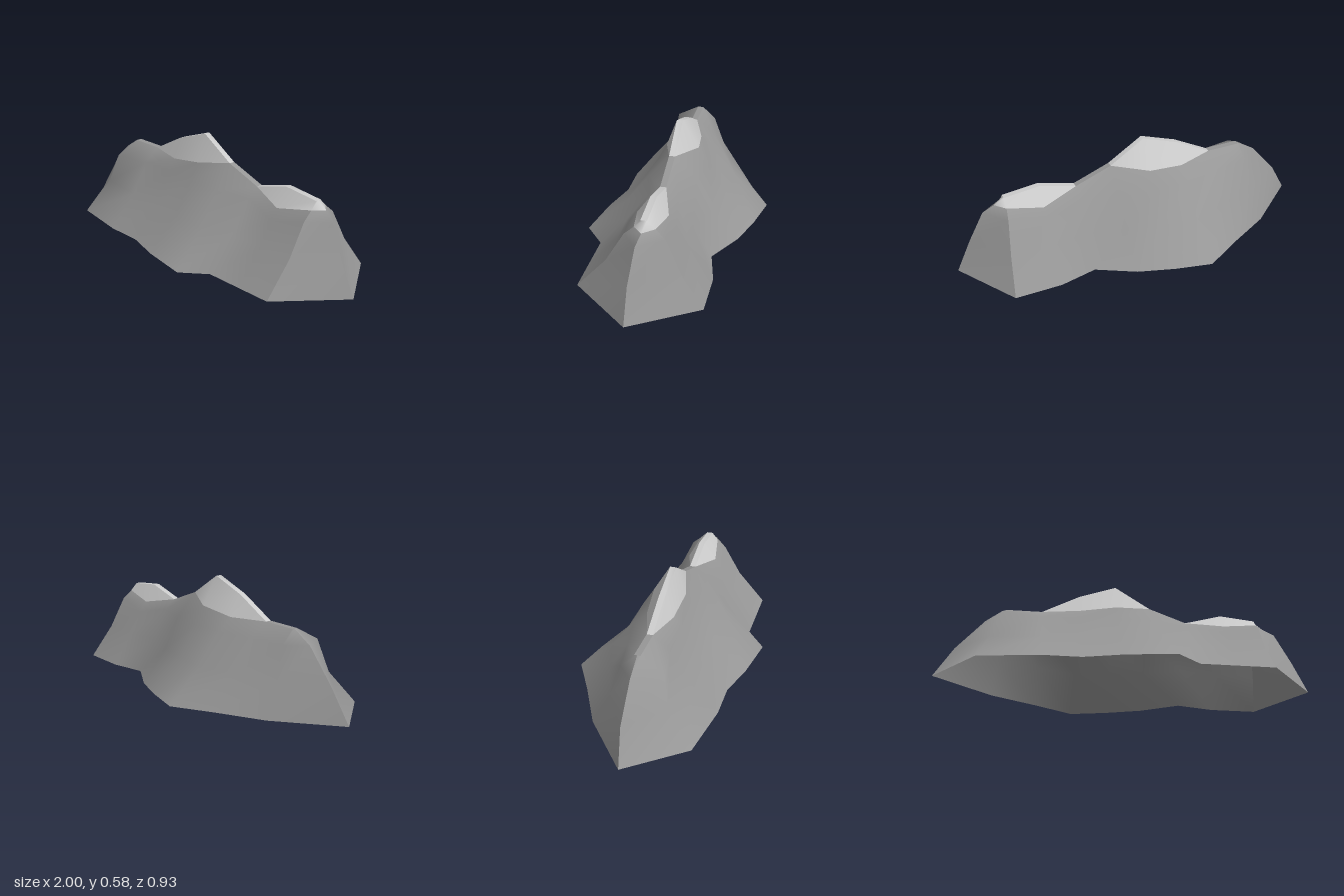
import * as THREE from 'three';
import { mergeVertices } from 'three/addons/utils/BufferGeometryUtils.js';

// Surface through neighbouring columns of points (each listed from bottom to top)
function sheet(columns, from, to) {
  const pos = [];
  const tri = (a, b, c) => {
    const area = b.clone().sub(a).cross(c.clone().sub(a)).length();
    if (area > 1e-6) for (const p of [a, b, c]) pos.push(p.x, p.y, p.z);
  };
  for (let i = 0; i < columns.length - 1; i++) {
    const p = columns[i], q = columns[i + 1];
    for (let j = from; j < to; j++) {
      tri(p[j], q[j], q[j + 1]);
      tri(p[j], q[j + 1], p[j + 1]);
    }
  }
  const g = new THREE.BufferGeometry();
  g.setAttribute('position', new THREE.Float32BufferAttribute(pos, 3));
  return g;
}

export function createModel() {
  const group = new THREE.Group();
  group.name = 'mountainRange';
  const rock = new THREE.MeshStandardMaterial({ color: 0x969696, side: THREE.DoubleSide });
  const snow = new THREE.MeshStandardMaterial({ color: 0xcccccc, side: THREE.DoubleSide });
  const add = (name, geometry, material) => {
    const g = mergeVertices(geometry, 1e-4);
    g.computeVertexNormals();
    const mesh = new THREE.Mesh(g, material);
    mesh.name = name;
    group.add(mesh);
  };
  const v = (x, y, z) => new THREE.Vector3(x, y, z);

  // Sections along the ridge, front and back: foot shift in x, foot z, shoulder z, snow line z
  const FRONT = 0.022, BACK = -0.01;
  const sections = [
    { x: -0.64, y: 0.405, f: [-0.13, 0.315, 0.145], b: [-0.06, -0.22, -0.08] },
    { x: -0.45, y: 0.405, f: [0, 0.365, 0.11], b: [0, -0.35, -0.11] },
    { x: -0.25, y: 0.51, cap: 0.4, f: [0, 0.365, 0.11, 0.07], b: [0, -0.465, -0.15, -0.075] },
    { x: -0.05, y: 0.58, cap: 0.43, f: [0, 0.42, 0.13, 0.078], b: [0, -0.42, -0.16, -0.1] },
    { x: 0.14, y: 0.46, f: [0.07, 0.462, 0.13], b: [0, -0.36, -0.13] },
    { x: 0.34, y: 0.385, f: [0, 0.355, 0.08], b: [0, -0.25, -0.07] },
    { x: 0.54, y: 0.44, cap: 0.345, shoulder: 0.29, f: [0, 0.355, 0.13, 0.09], b: [0, -0.295, -0.11, -0.07] },
    { x: 0.73, y: 0.42, cap: 0.38, f: [0, 0.355, 0.105, 0.055], b: [0.06, -0.295, -0.1, -0.05] },
  ];
  const column = (s, [dx, foot, mid, line], top, half) => [
    v(s.x + dx, 0, foot),
    v(s.x + dx * 0.55, 0.17, foot * half),
    v(s.x + dx * 0.15, s.shoulder ?? 0.335, mid),
    v(s.x, s.cap ?? s.y, line ?? top),
    v(s.x, s.y, top),
  ];
  const front = sections.map(s => column(s, s.f, FRONT, 0.57));
  const back = sections.map(s => column(s, s.b, BACK, 0.6)).reverse();

  // Spines running down the two ends
  const leftSpine = [v(-1, 0, 0.025), v(-0.9, 0.17, 0.005), v(-0.75, 0.34, 0.005),
    v(-0.64, 0.405, 0.005), v(-0.64, 0.405, 0.005)];
  const rightSpine = [v(1, 0, 0.042), v(0.92, 0.17, 0.042), v(0.84, 0.34, 0.022),
    v(0.78, 0.38, 0.006), v(0.73, 0.42, 0.006)];

  // Rock slopes, meeting in sharp edges at the spines and the right end
  add('frontSlope', sheet([leftSpine, ...front], 0, 3), rock);
  add('backSlope', sheet([...back, leftSpine], 0, 3), rock);
  add('rightEndFront', sheet([front[7], rightSpine], 0, 3), rock);
  add('rightEndBack', sheet([rightSpine, back[0]], 0, 3), rock);

  // Snow on the main peak, and round the right end on the small peak
  add('mainPeakFrontSnow', sheet(front.slice(1, 5), 3, 4), snow);
  add('mainPeakBackSnow', sheet(back.slice(3, 7), 3, 4), snow);
  add('smallPeakSnow', sheet([...front.slice(5), rightSpine, ...back.slice(0, 3)], 3, 4), snow);

  // Narrow flat crest
  const crest = front.map((c, i) => [c[4], back[7 - i][4]]);
  const crestParts = [['leftCrest', 0, 1, rock], ['mainPeakCrest', 1, 4, snow],
    ['saddleCrest', 4, 5, rock], ['smallPeakCrest', 5, 7, snow]];
  for (const [name, first, last, material] of crestParts)
    add(name, sheet(crest.slice(first, last + 1), 0, 1), material);
  return group;
}
